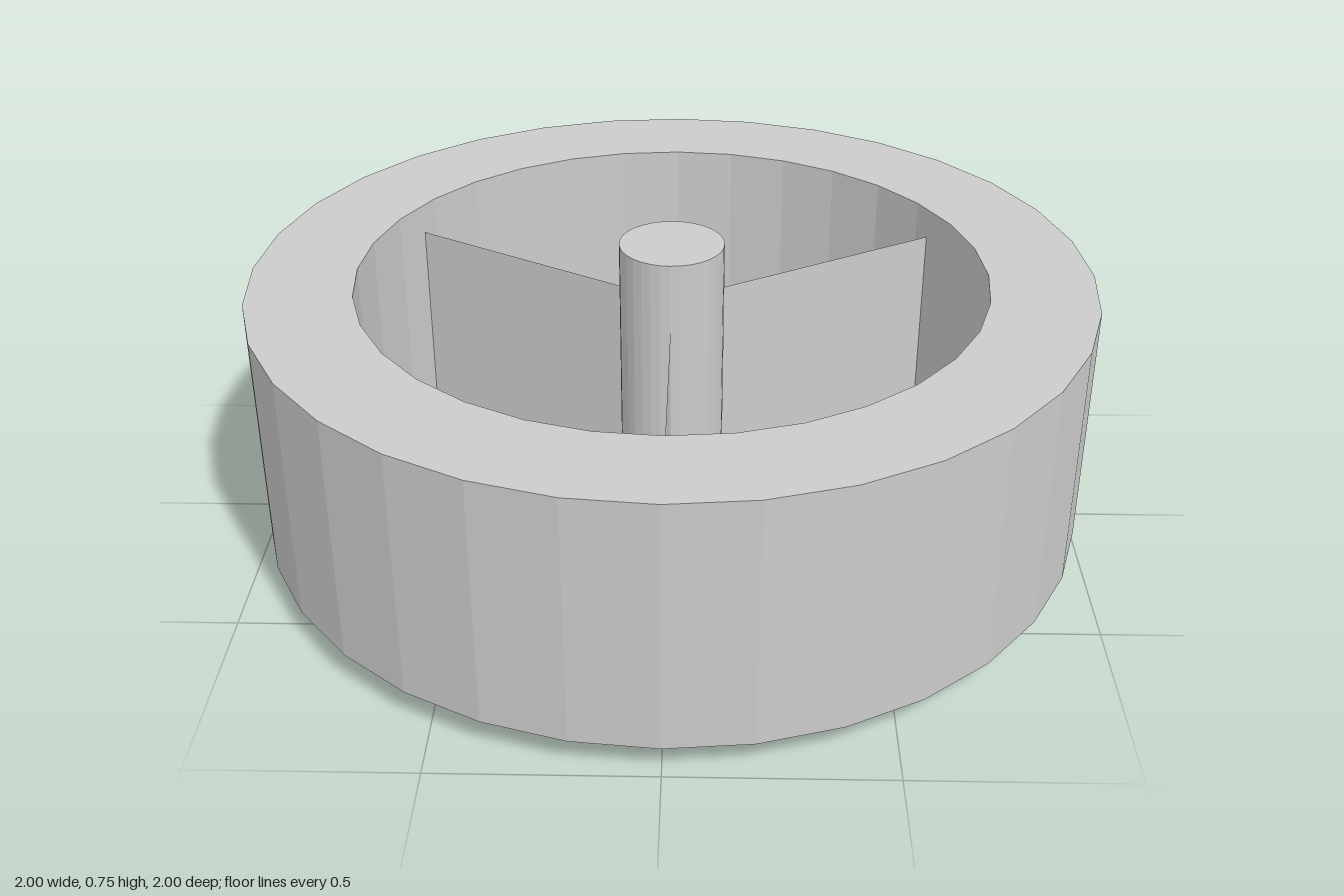
import * as THREE from 'three';

const SIDES = 32;
const material = new THREE.MeshStandardMaterial({ color: 0xcccccc, flatShading: true });
const bladeMaterial = new THREE.MeshStandardMaterial({ color: 0xcccccc, side: THREE.DoubleSide });

function addMesh(parent, name, geometry, mat = material) {
  const mesh = new THREE.Mesh(geometry, mat);
  mesh.name = name;
  parent.add(mesh);
  return mesh;
}

export function createModel() {
  const model = new THREE.Group();
  model.name = 'bladedWheel';

  // Outer rim: a rectangular section turned around the axle
  const inner = 0.75, outer = 1, bottom = 0.075, top = 0.675;
  const section = [
    [outer, bottom], [outer, top], [inner, top], [inner, bottom], [outer, bottom],
  ].map(([r, y]) => new THREE.Vector2(r, y));
  addMesh(model, 'rim', new THREE.LatheGeometry(section, SIDES));

  // Central axle, standing proud of the rim at both ends
  const axle = new THREE.CylinderGeometry(0.125, 0.125, 0.75, SIDES);
  axle.translate(0, 0.375, 0);
  addMesh(model, 'axle', axle);

  // Three paper-thin upright blades from the axle to the rim
  const bladeGeometry = new THREE.PlaneGeometry(inner, 0.5);
  bladeGeometry.translate(inner / 2, 0.35, 0);
  for (let i = 0; i < 3; i++) {
    const blade = addMesh(model, `blade${i + 1}`, bladeGeometry, bladeMaterial);
    blade.rotation.y = Math.PI / 6 + (i * Math.PI * 2) / 3;
  }

  return model;
}
